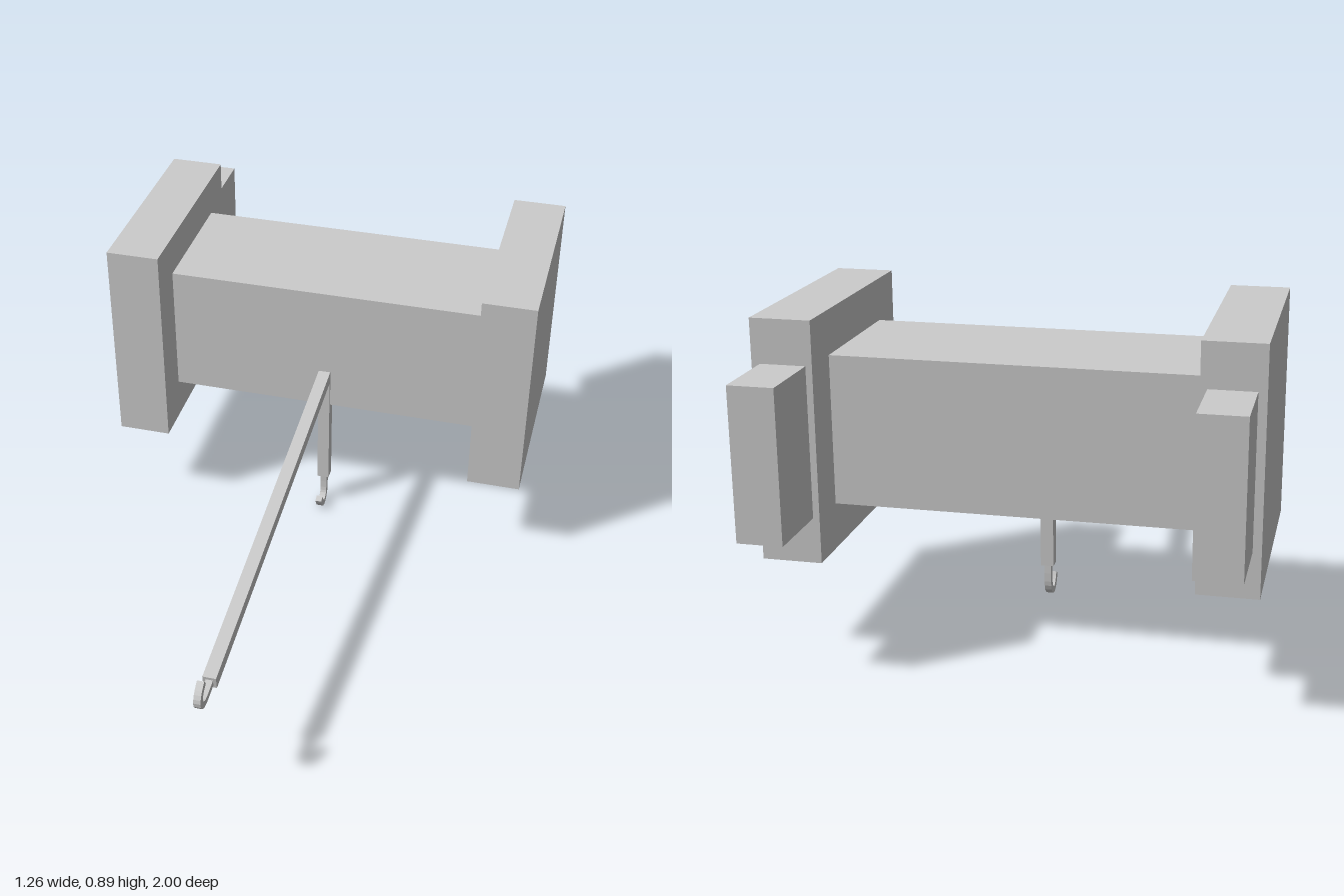
import * as THREE from 'three';

const grey = new THREE.MeshStandardMaterial({ color: 0xcccccc, flatShading: true });

// Box given by its extents on each axis
function box(name, [x0, x1], [y0, y1], [z0, z1]) {
  const mesh = new THREE.Mesh(new THREE.BoxGeometry(x1 - x0, y1 - y0, z1 - z0), grey);
  mesh.position.set((x0 + x1) / 2, (y0 + y1) / 2, (z0 + z1) / 2);
  mesh.name = name;
  return mesh;
}

// Hook outline: a centre line thickened to both sides, then extruded
function hookGeometry(width) {
  const line = new THREE.CatmullRomCurve3([
    [0, 0], [0.05, 0], [0.073, 0.006], [0.089, 0.026], [0.086, 0.043], [0.073, 0.057], [0.052, 0.068],
  ].map(([x, y]) => new THREE.Vector3(x, y, 0)));
  const right = [], left = [];
  const n = 12;
  for (let i = 0; i <= n; i++) {
    const p = line.getPoint(i / n), t = line.getTangent(i / n);
    const dx = -t.y * width / 2, dy = t.x * width / 2;
    right.push(new THREE.Vector2(p.x - dx, p.y - dy));
    left.unshift(new THREE.Vector2(p.x + dx, p.y + dy));
  }
  const shape = new THREE.Shape([...right, ...left]);
  return new THREE.ExtrudeGeometry(shape, { depth: width, bevelEnabled: false }).translate(0, 0, -width / 2);
}

// Square rod ending in a hook; dip is the angle below the forward direction
function hookedRod(name, endY, endZ, length, dip) {
  const group = new THREE.Group();
  group.name = name;
  const rod = new THREE.Mesh(new THREE.BoxGeometry(length, 0.036, 0.036).translate(-length / 2, 0, 0), grey);
  rod.name = name + 'Shaft';
  const hook = new THREE.Mesh(hookGeometry(0.019), grey);
  hook.name = name + 'Hook';
  group.add(rod, hook);
  const s = Math.sin(dip), c = Math.cos(dip);
  group.quaternion.setFromRotationMatrix(new THREE.Matrix4().makeBasis(
    new THREE.Vector3(0, -s, c), new THREE.Vector3(0, c, s), new THREE.Vector3(-1, 0, 0)));
  group.position.set(0, endY, endZ);
  return group;
}

export function createModel() {
  const model = new THREE.Group();
  model.name = 'hookedBeam';

  // Cross beam between the two end blocks
  model.add(box('crossBeam', [-0.475, 0.475], [0.38, 0.775], [-0.685, -0.293]));

  // End blocks with a smaller block behind each
  for (const [side, k] of [['left', 1], ['right', -1]]) {
    const span = (a, b) => (k > 0 ? [a, b] : [-b, -a]);
    model.add(box(side + 'EndBlock', span(0.475, 0.632), [0.26, 0.89], [-0.8, -0.175]));
    model.add(box(side + 'RearBlock', span(0.492, 0.61), [0.38, 0.775], [-1, -0.8]));
  }

  // Long forward rod and short hanging rod
  model.add(hookedRod('forwardRod', 0.345, 0.9, 1.2, 0.117));
  model.add(hookedRod('hangingRod', 0.1, -0.302, 0.38, Math.PI / 2));
  return model;
}
